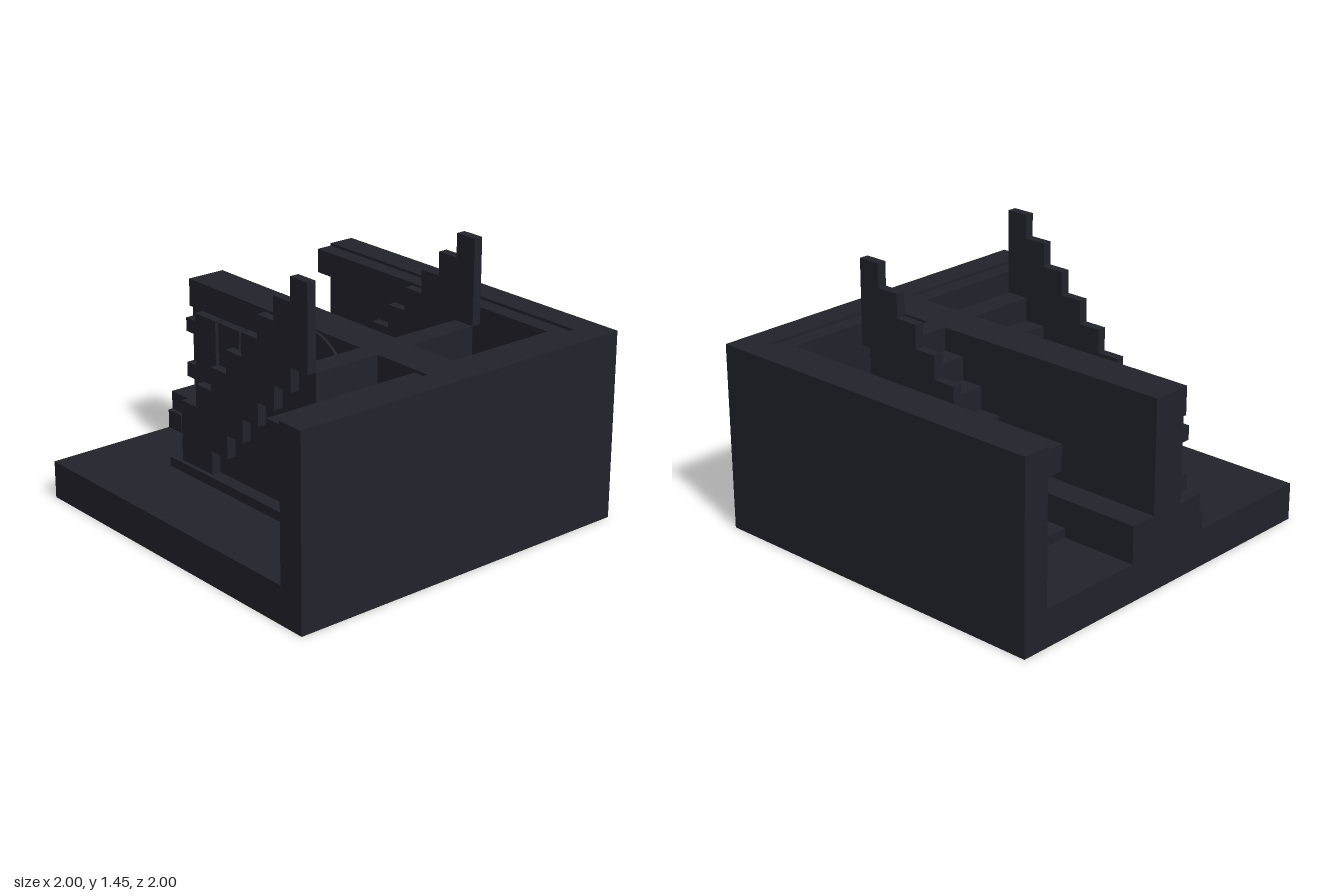
import * as THREE from 'three';

export function createModel() {
  const model = new THREE.Group();
  const stone = new THREE.MeshStandardMaterial({ color: 0x22222c });
  stone.name = 'dark stone';

  function add(name, geometry, parent = model) {
    const mesh = new THREE.Mesh(geometry, stone);
    mesh.name = name;
    parent.add(mesh);
    return mesh;
  }
  // Box given by its limits on each axis
  function box(name, [x0, x1], [y0, y1], [z0, z1], parent) {
    const mesh = add(name, new THREE.BoxGeometry(x1 - x0, y1 - y0, z1 - z0), parent);
    mesh.position.set((x0 + x1) / 2, (y0 + y1) / 2, (z0 + z1) / 2);
    return mesh;
  }
  // Outline in x and y, extruded between two depths
  function slab(name, points, z0, z1, parent) {
    const shape = new THREE.Shape(points.map(([x, y]) => new THREE.Vector2(x, y)));
    const geometry = new THREE.ExtrudeGeometry(shape, { depth: z1 - z0, bevelEnabled: false });
    geometry.translate(0, 0, z0);
    return add(name, geometry, parent);
  }

  // Base and the two outer walls with overhanging lips
  box('base', [-1, 1], [0, 0.2], [-1, 1]);
  box('backWall', [-1, 1], [0.2, 1], [-1, -0.85]);
  box('rightWall', [0.85, 1], [0.2, 1], [-0.85, 1]);
  box('backWallLip', [-1, 0.85], [0.85, 0.985], [-0.85, -0.76]);
  box('rightWallLip', [0.76, 0.85], [0.85, 0.985], [-0.76, 1]);

  // Dividing wall with cap, ledges and skirting
  box('dividerWall', [-1, 0.85], [0.2, 0.85], [-0.1, 0.1]);
  box('dividerCap', [-1, 0.85], [0.85, 1], [-0.1, 0.12]);
  box('backLedge', [-1, 0.85], [0.2, 0.4], [-0.25, -0.1]);
  box('frontLedge', [-1, 0.85], [0.3, 0.4], [0.1, 0.25]);
  box('skirting', [-1, 0.85], [0.2, 0.3], [0.1, 0.15]);

  // Front decoration: pilasters, bands, brackets and the arch
  const decoration = new THREE.Group();
  decoration.name = 'wallDecoration';
  model.add(decoration);
  for (const x of [-0.8, -0.6, 0, 0.6, 0.8]) {
    box('pilaster', [x - 0.087, Math.min(x + 0.087, 0.85)], [0.4, 0.85], [0.1, 0.17], decoration);
  }
  for (const [y0, y1] of [[0.46, 0.54], [0.715, 0.79]]) {
    box('wallBand', [-1, 0.85], [y0, y1], [0.1, 0.145], decoration);
  }
  for (const [x0, x1] of [[-1, -0.89], [-0.83, -0.68], [-0.52, -0.37], [0.67, 0.82]]) {
    box('bracket', [x0, x1], [0.2, 0.3], [0.1, 0.275], decoration);
  }
  const arch = new THREE.Shape();
  arch.absarc(0, 0.7, 0.299, 0, Math.PI, false);
  const archGeometry = new THREE.ExtrudeGeometry(arch, { depth: 0.035, bevelEnabled: false, curveSegments: 24 });
  archGeometry.translate(0, 0, 0.1);
  add('archPanel', archGeometry, decoration);

  // Stair outlines: solid flight and the stepped side rail above it
  const step = 0.125;
  const count = 8;
  const flight = [[0.5, 0.2], [-0.25, 0.2]];
  const railTop = [];
  const railBottom = [];
  for (let i = 0; i < count; i++) {
    const x = -0.5 + i * step;
    const y = (i + 1) * step;
    if (i > 1) flight.push([x, y], [x + step, y]);
    railTop.push([x, y + 0.45], [x + step, y + 0.45]);
    if (i > 1) railBottom.push([x, y], [x + step, y]);
  }
  const rail = [[-0.5, 0.25], [-0.25, 0.25], ...railBottom, ...railTop.reverse()];

  // A flight on each side of the dividing wall
  for (const side of [1, -1]) {
    const stairs = new THREE.Group();
    stairs.name = side > 0 ? 'frontStairs' : 'backStairs';
    model.add(stairs);
    const span = (a, b) => (side > 0 ? [a, b] : [-b, -a]);
    box('stairPlinth', [-0.575, 0.575], [0.2, 0.25], span(0.1, 0.575), stairs);
    slab('stairFlight', flight, ...span(side > 0 ? 0.12 : 0.1, 0.5), stairs);
    slab('stairRail', rail, ...span(0.5, 0.55), stairs);
  }
  return model;
}
